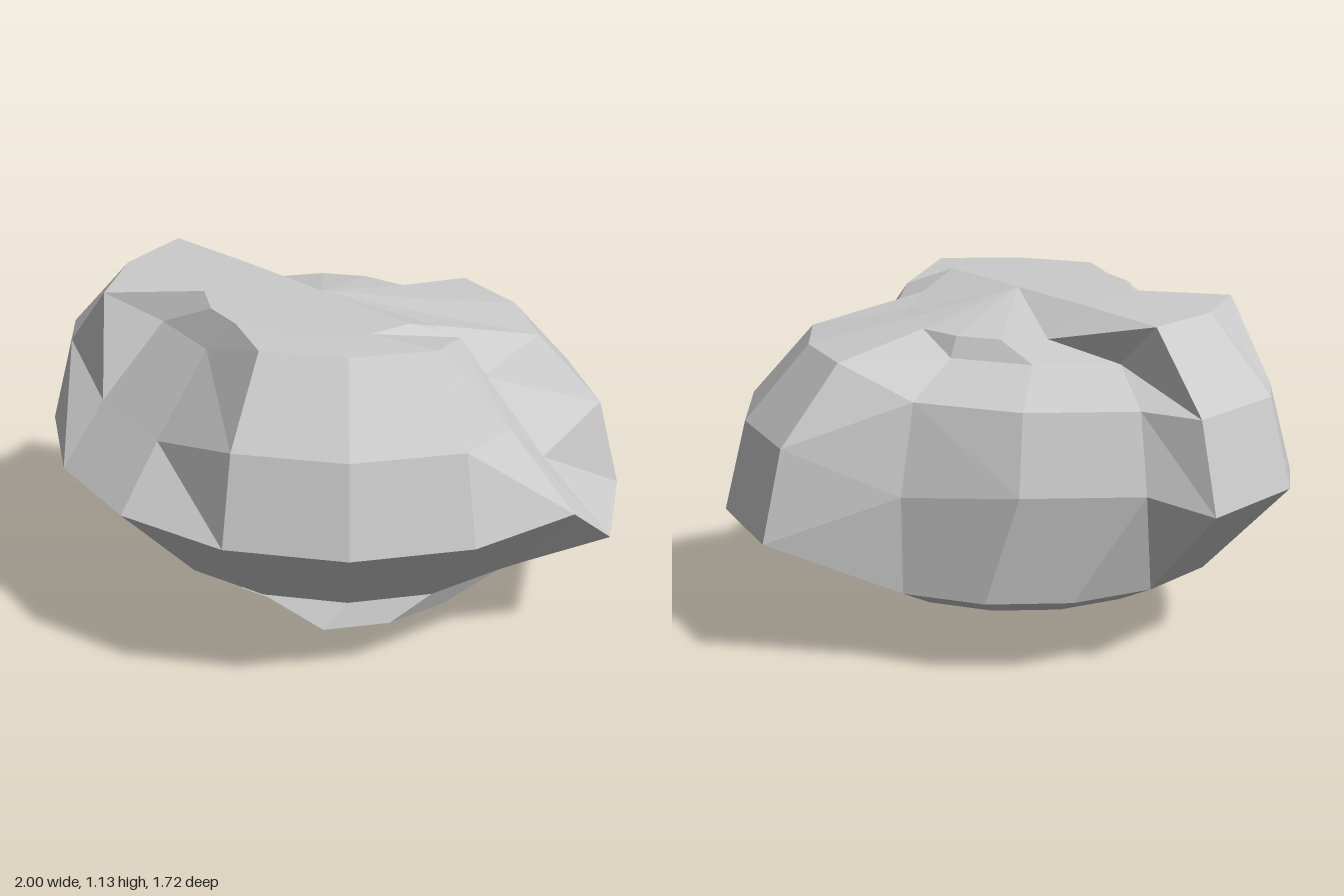
import * as THREE from 'three';

const COLS = 16; // column 0 = +x, 4 = front, 8 = -x, 12 = back
const CENTRE_Z = 0.06;

// [radius, height] of each ring, from the top pole to the bottom pole
const RINGS = [
  [0, 1.13], [0.383, 1.13], [0.707, 1.125], [0.924, 0.88], [1, 0.59],
  [0.707, 0.27], [0.556, 0.19], [0.383, 0.175], [0, 0],
];

// Chipped regions: [first ring, last ring, first column, last column, dx, dy, dz]
const DENTS = [
  // flattened front
  [2, 2, 1, 6, 0, 0, -0.2],
  [3, 5, 1, 7, 0, 0, -0.2],
  // notch at the front, -x side
  [2, 3, 5, 6, 0.02, -0.1, -0.1],
  // pushed-in back, -x side
  [2, 4, 10, 12, 0, 0, 0.29],
  [2, 2, 10, 12, 0, -0.15, 0],
  [4, 4, 10, 11, 0, 0.04, 0],
  // sunken back, +x side
  [1, 1, 10, 15, 0, -0.09, 0],
  [2, 3, 13, 15, 0, -0.15, 0],
  [4, 4, 13, 15, 0, -0.16, 0],
  // groove down the +x side
  [2, 3, 0, 1, -0.16, 0, 0],
  [1, 1, 0, 0, 0, -0.06, 0],
  [2, 3, 0, 0, 0, -0.205, 0],
  [4, 4, 0, 0, 0, -0.16, 0],
  [2, 3, 1, 1, 0, -0.05, 0],
  // undercut below the front, -x side
  [6, 6, 4, 7, 0, 0, -0.2],
];

function rockPoint(ring, col) {
  const [radius, height] = RINGS[ring];
  const angle = (col / COLS) * Math.PI * 2;
  const p = [Math.cos(angle) * radius, height, Math.sin(angle) * radius + CENTRE_Z];
  for (const [r0, r1, c0, c1, ...move] of DENTS) {
    if (ring >= r0 && ring <= r1 && col >= c0 && col <= c1) {
      move.forEach((m, i) => { p[i] += m; });
    }
  }
  return p;
}

function rockGeometry() {
  const positions = [];
  const index = [];
  const last = RINGS.length - 1;
  for (let r = 0; r <= last; r++) {
    for (let c = 0; c < COLS; c++) positions.push(...rockPoint(r, c));
  }
  for (let r = 0; r < last; r++) {
    for (let c = 0; c < COLS; c++) {
      const next = (c + 1) % COLS;
      const a = r * COLS + c;
      const b = r * COLS + next;
      const d = b + COLS;
      if (r > 0) index.push(b, a + COLS, a);
      if (r < last - 1) index.push(b, d, a + COLS);
      // the top and bottom fans need one triangle per column
      if (r === 0) continue;
    }
  }
  const indexed = new THREE.BufferGeometry();
  indexed.setAttribute('position', new THREE.Float32BufferAttribute(positions, 3));
  indexed.setIndex(index);
  const geometry = indexed.toNonIndexed();
  geometry.computeVertexNormals();
  return geometry;
}

export function createModel() {
  const model = new THREE.Group();
  model.name = 'rock';
  const material = new THREE.MeshStandardMaterial({ color: 0xcccccc, flatShading: true });
  const boulder = new THREE.Mesh(rockGeometry(), material);
  boulder.name = 'boulder';
  model.add(boulder);
  return model;
}
